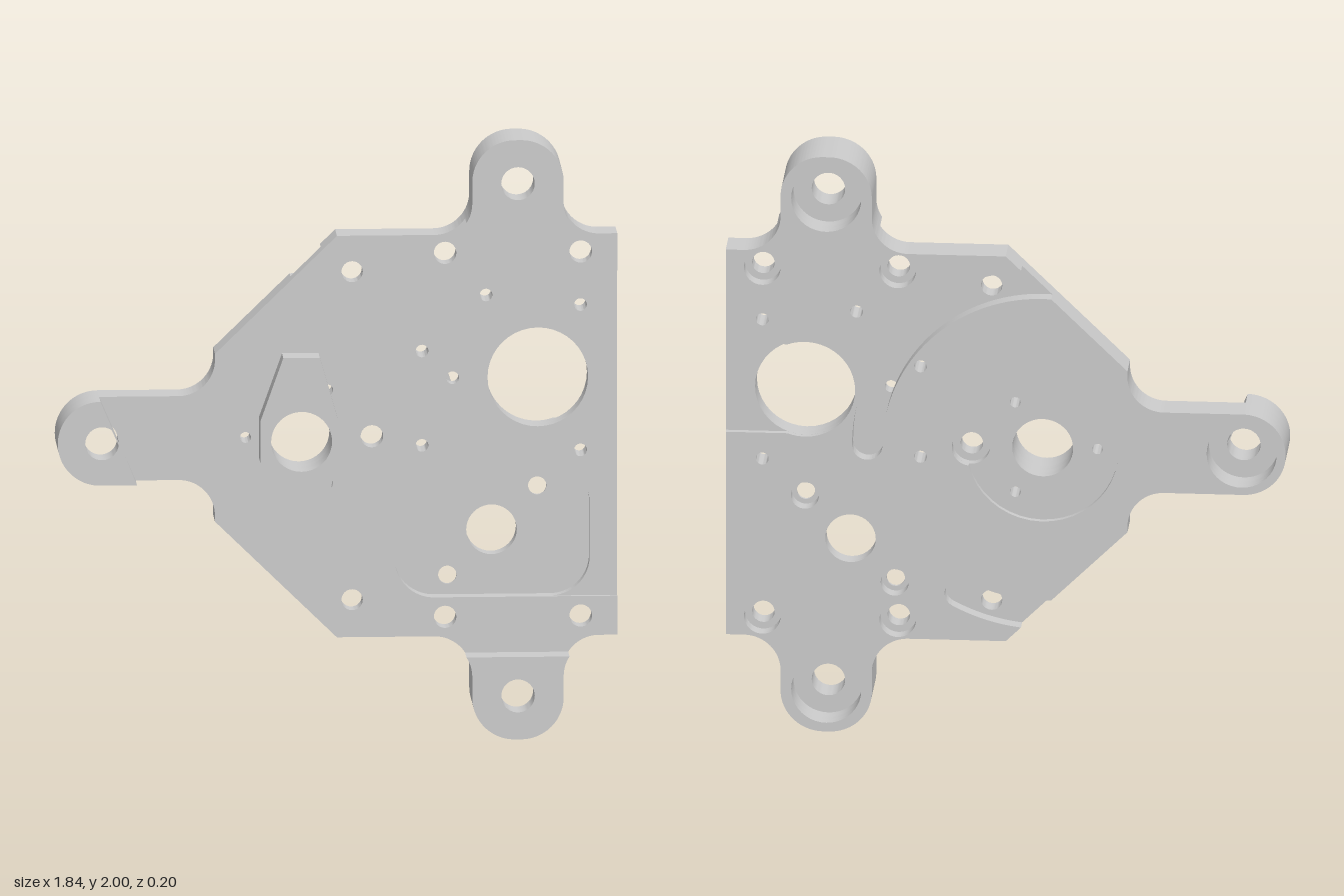
import * as THREE from 'three';
import { toCreasedNormals } from 'three/addons/utils/BufferGeometryUtils.js';

const PI = Math.PI, H = PI / 2;
const C = [-0.12, 1]; // pivot bore, centre of the arc grooves
const R_IN = 0.525, R_OUT = 0.625, GROOVE_END = -1.08;

// Hole lists: [x, y, through radius, rear counterbore radius]
const lugHoles = [[0.59, 1.855, 0.055, 0.115], [0.59, 0.145, 0.055, 0.115], [-0.775, 1, 0.055, 0.115]];
const boltHoles = [[0.355, 1.61], [0.8, 1.61], [0.355, 0.395], [0.8, 0.395]].map(p => [...p, 0.037, 0.06]);
const grooveHoles = [[0.05, 1.55, 0.035], [0.05, 0.455, 0.035]];
const sideHole = [0.115, 1, 0.037, 0.062];
const motorHoles = [[0.66, 0.82, 0.03, 0.046], [0.365, 0.525, 0.03, 0.046]];
const motorBore = [0.51, 0.675, 0.083];
const bigBore = [0.66, 1.19, 0.165];
const pinHoles = [[0.49, 1.465], [0.8, 1.43], [0.28, 1.28], [0.28, 0.965], [0.8, 0.945]].map(p => [...p, 0.021]);
const edgePin = [0.38, 1.19, 0.021];
const pivotBore = [...C, 0.1];
const pivotPins = [1, 3, 5].map(i => [C[0] + 0.18 * Math.cos(i * PI / 3), C[1] + 0.18 * Math.sin(i * PI / 3), 0.018]);

const circle = ([x, y, r]) => new THREE.Path().absarc(x, y, r, 0, 2 * PI, false);
const bored = ([x, y, r, big]) => circle([x, y, big || r]);

// Angle at which a groove radius meets the upper sloped edge
function slopeAngle(r) {
  const dx = -0.4, dy = -0.39, l = Math.hypot(dx, dy), px = 0 - C[0], py = 1.67 - C[1];
  const b = (px * dx + py * dy) / l;
  const t = -b - Math.sqrt(b * b - (px * px + py * py) + r * r);
  return Math.atan2(py + t * dy / l, px + t * dx / l);
}

// Plate outline, optionally cut by the rear grooves, rear notch or front pocket
function outline({ grooves, notch, pocket }) {
  const s = new THREE.Shape();
  const [cx, cy] = C, ao = slopeAngle(R_OUT), ai = slopeAngle(R_IN), rm = (R_IN + R_OUT) / 2;
  s.moveTo(0.92, 0.33);
  if (notch) {
    s.lineTo(0.92, 1.035).absarc(...bigBore, -1.22, 1.22, true).lineTo(0.92, 1.345);
  }
  if (pocket) {
    s.lineTo(0.92, 0.46).lineTo(0.32, 0.46);
    s.absarc(0.32, 0.59, 0.13, -H, -PI, true).absarc(0.32, 1.415, 0.13, PI, H, true);
    s.lineTo(0.92, 1.545);
  }
  // Top lug
  s.lineTo(0.92, 1.67).absarc(0.86, 1.79, 0.12, -H, -PI, true);
  s.absarc(0.6, 1.86, 0.14, 0, H, false).absarc(0.58, 1.86, 0.14, H, PI, false);
  s.absarc(0.32, 1.79, 0.12, 0, -H, true).lineTo(0, 1.67);
  if (grooves) {
    s.absarc(cx, cy, R_OUT, ao, 0, true).absarc(cx + rm, cy, 0.05, 0, -PI, true);
    s.absarc(cx, cy, R_IN, 0, ai, false);
  }
  // Left lug
  s.lineTo(-0.4, 1.28).absarc(-0.52, 1.26, 0.12, 0, -H, true);
  s.absarc(-0.78, 1, 0.14, H, 3 * H, false);
  s.absarc(-0.52, 0.74, 0.12, H, 0, true).lineTo(-0.4, 0.72);
  if (grooves) {
    const e = GROOVE_END;
    s.absarc(cx, cy, R_IN, -ai, e, false);
    s.absarc(cx + rm * Math.cos(e), cy + rm * Math.sin(e), 0.05, e + PI, e, true);
    s.absarc(cx, cy, R_OUT, e, -ao, true);
  }
  // Bottom lug
  s.lineTo(0, 0.33).absarc(0.32, 0.21, 0.12, H, 0, true);
  s.absarc(0.58, 0.14, 0.14, PI, 3 * H, false).absarc(0.6, 0.14, 0.14, 3 * H, 4 * H, false);
  s.absarc(0.86, 0.21, 0.12, PI, H, true).lineTo(0.92, 0.33);
  return s;
}

// Shallow round recess merged with the side hole's counterbore
function pivotRecess() {
  const p = new THREE.Path(), R = 0.25, [x, y, , r] = sideHole, d = x - C[0];
  const a = (d * d + R * R - r * r) / (2 * d), h = Math.sqrt(R * R - a * a);
  const A = Math.atan2(h, a), B = Math.atan2(h, a - d);
  p.absarc(...C, R, A, 2 * PI - A, false).absarc(x, y, r, -B, B, false);
  return p;
}

// Deep rounded pocket around the motor bore
function motorPocket() {
  const p = new THREE.Path(), r = 0.13;
  p.absarc(0.83 - r, 0.9 - r, r, 0, H, false).absarc(0.19 + r, 0.9 - r, r, H, PI, false);
  p.absarc(0.19 + r, 0.46 + r, r, PI, 3 * H, false).absarc(0.83 - r, 0.46 + r, r, 3 * H, 4 * H, false);
  return p.closePath();
}

// Raised end of the top lug
function topLug() {
  const s = new THREE.Shape(), a = Math.asin(0.065 / 0.12);
  s.absarc(0.86, 1.79, 0.12, PI + a, PI, true);
  s.absarc(0.6, 1.86, 0.14, 0, H, false).absarc(0.58, 1.86, 0.14, H, PI, false);
  s.absarc(0.32, 1.79, 0.12, 0, -a, true);
  return s.closePath();
}

export function createModel() {
  const model = new THREE.Group();
  model.name = 'mountingPlate';
  const material = new THREE.MeshStandardMaterial({ color: 0xcccccc });

  function slab(name, shape, holes, z0, z1) {
    shape.holes = holes;
    const geo = new THREE.ExtrudeGeometry(shape, { depth: z1 - z0, bevelEnabled: false, curveSegments: 20 });
    geo.translate(0, 0, z0);
    const mesh = new THREE.Mesh(toCreasedNormals(geo, 0.5), material);
    mesh.name = name;
    model.add(mesh);
  }

  // Plate in layers from the rear face to the front face
  const lugBores = lugHoles.map(bored);
  const rearBores = [...lugHoles, ...boltHoles, ...motorHoles, motorBore, ...pinHoles];
  slab('rearFace', outline({ grooves: true, notch: true }),
    [...rearBores.map(bored), pivotRecess()], -0.1, -0.08);
  slab('grooveLayer', outline({ grooves: true }),
    [...[...rearBores, sideHole, bigBore, pivotBore, ...pivotPins].map(bored)], -0.08, -0.05);
  const through = [...boltHoles, ...grooveHoles, sideHole, bigBore, ...pinHoles, edgePin, pivotBore, ...pivotPins];
  slab('webLayer', outline({}),
    [...lugBores, ...[...through, ...motorHoles, motorBore].map(circle)], -0.05, -0.04);
  slab('motorPocketLayer', outline({}),
    [...lugBores, ...through.map(circle), motorPocket()], -0.04, 0);
  const front = [...lugHoles, ...boltHoles, ...grooveHoles, sideHole, pivotBore, ...pivotPins];
  slab('frontFace', outline({ pocket: true }), front.map(circle), 0, 0.015);

  // Raised lug ends
  const [topHole, bottomHole, leftHole] = lugHoles;
  slab('topLug', topLug(), [circle(topHole)], 0.015, 0.1);
  const mirrored = topLug().getPoints(40).map(p => new THREE.Vector2(p.x, 2 - p.y));
  slab('bottomLug', new THREE.Shape(mirrored), [circle(bottomHole)], 0.015, 0.1);
  const left = new THREE.Shape();
  left.moveTo(-0.66, 1.14).absarc(-0.78, 1, 0.14, H, 3 * H, false).lineTo(-0.66, 0.86).closePath();
  slab('leftLug', left, [circle(leftHole)], 0.015, 0.1);

  // Faceted boss around the pivot bore
  const boss = [[-0.18, 1.28], [-0.06, 1.28], [0, 1.07], [0, 0.93], [-0.06, 0.725], [-0.18, 0.725], [-0.255, 0.93], [-0.255, 1.07]];
  slab('pivotBoss', new THREE.Shape(boss.map(p => new THREE.Vector2(...p))), [circle(pivotBore)], 0.015, 0.1);

  return model;
}
